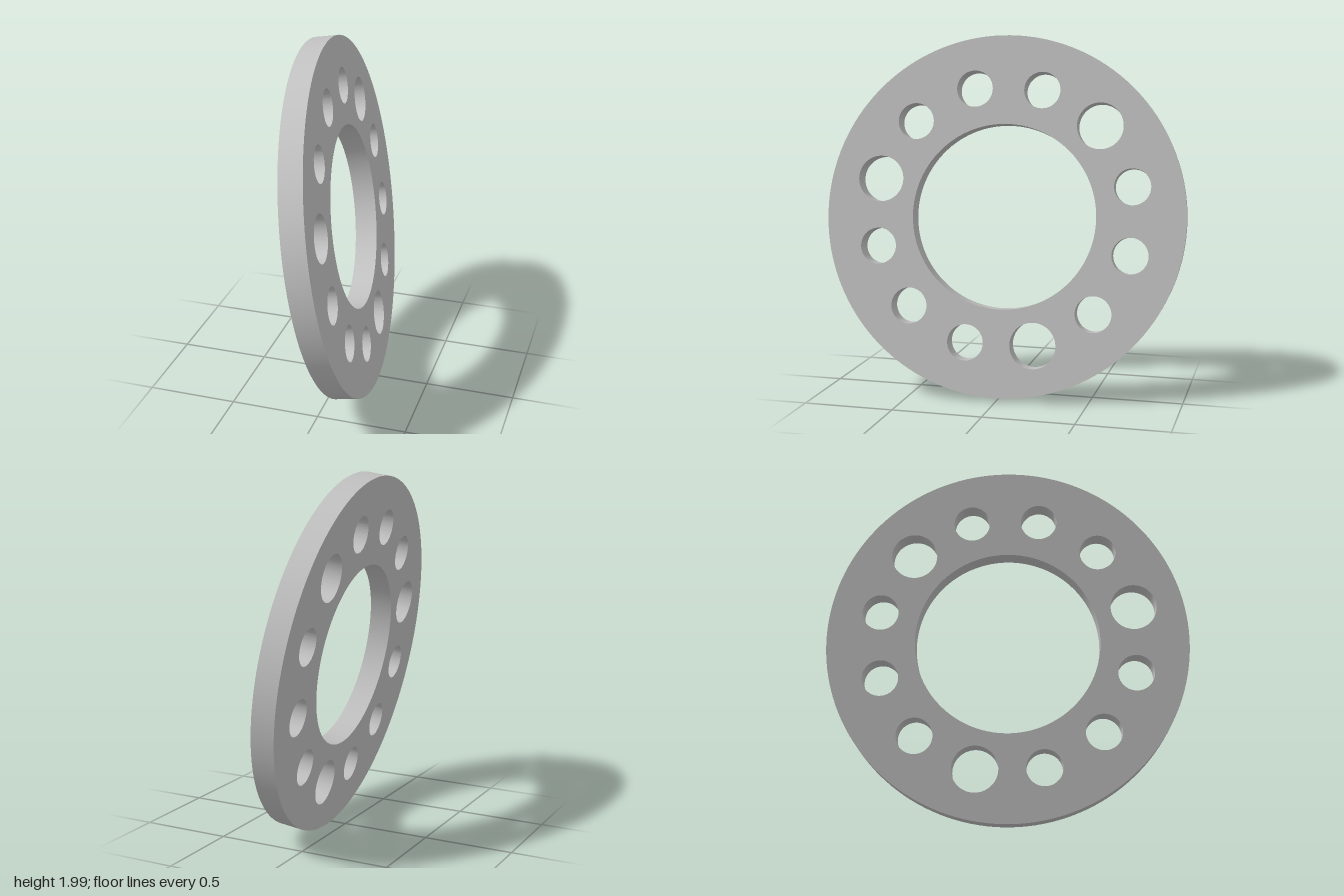
import * as THREE from 'three';
import { toCreasedNormals } from 'three/addons/utils/BufferGeometryUtils.js';

const OUTER = 0.998, INNER = 0.51, THICK = 0.127;
const HOLE_CIRCLE = 0.725, SMALL = 0.1, LARGE = 0.127;

function circle(target, x, y, r, clockwise) {
  return target.absarc(x, y, r, 0, Math.PI * 2, clockwise);
}

export function createModel() {
  const group = new THREE.Group();
  group.name = 'tiltedRing';
  const grey = new THREE.MeshStandardMaterial({ color: 0xc0c0c0 });
  grey.name = 'plain grey';

  // Flat ring with a large bore
  const shape = circle(new THREE.Shape(), 0, 0, OUTER, false);
  shape.holes.push(circle(new THREE.Path(), 0, 0, INNER, true));

  // Twelve bolt holes, every fourth one larger
  for (let i = 0; i < 12; i++) {
    const a = THREE.MathUtils.degToRad(15 + 30 * i);
    const r = i % 4 === 1 ? LARGE : SMALL;
    shape.holes.push(circle(new THREE.Path(), HOLE_CIRCLE * Math.cos(a), HOLE_CIRCLE * Math.sin(a), r, true));
  }

  let geometry = new THREE.ExtrudeGeometry(shape, { depth: THICK, bevelEnabled: false, curveSegments: 72 });
  geometry.translate(0, 0, -THICK / 2);
  geometry = toCreasedNormals(geometry, 0.6);

  // Lean the ring so that its axis points mostly along x
  const axis = new THREE.Vector3(0.984, 0.156, -0.086).normalize();
  const across = new THREE.Vector3(0, 0, -1);
  across.addScaledVector(axis, -across.dot(axis)).normalize();
  const up = new THREE.Vector3().crossVectors(axis, across);
  geometry.applyMatrix4(new THREE.Matrix4().makeBasis(across, up, axis));

  // Stand it on the ground
  geometry.computeBoundingBox();
  geometry.translate(0, -geometry.boundingBox.min.y, 0);

  const ring = new THREE.Mesh(geometry, grey);
  ring.name = 'drilledRing';
  group.add(ring);
  return group;
}
